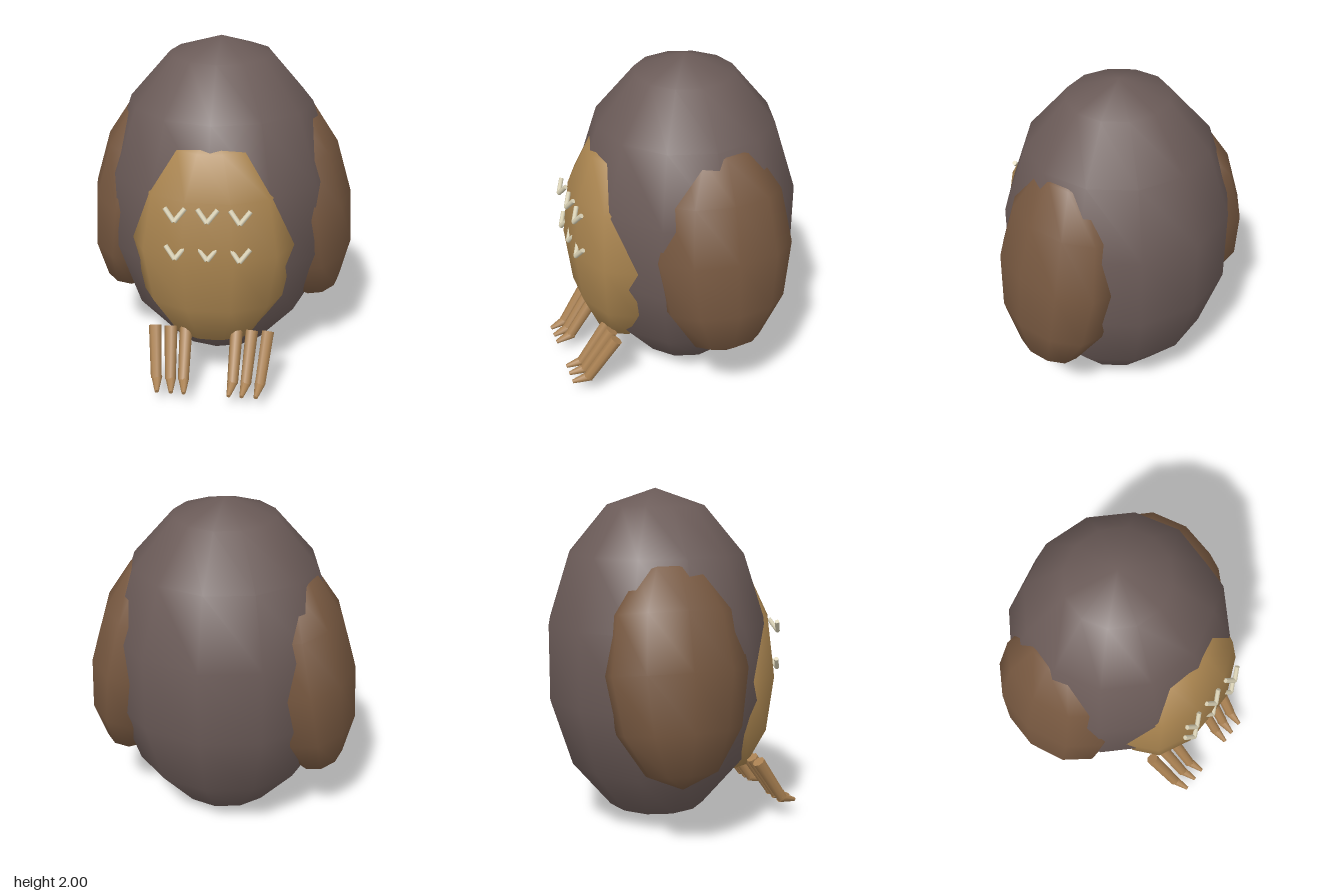
import * as THREE from 'three';

const mat = (name, color) => {
  const m = new THREE.MeshStandardMaterial({ color });
  m.name = name;
  return m;
};

export function createModel() {
  const group = new THREE.Group();
  const bodyMat = mat('dark taupe', 0x6b5b58);
  const bellyMat = mat('tan', 0xa9844f);
  const wingMat = mat('brown', 0x775840);
  const toeMat = mat('warm tan', 0xaa8152);
  const markMat = mat('cream', 0xd6ceb2);

  const add = (name, geometry, material, parent = group) => {
    const m = new THREE.Mesh(geometry, material);
    m.name = name;
    parent.add(m);
    return m;
  };

  // Low-sided ellipsoid with smooth normals
  const ellipsoid = (name, material, cols, rows, radii, pos) => {
    const m = add(name, new THREE.SphereGeometry(1, cols, rows), material);
    m.scale.set(...radii);
    m.position.set(...pos);
    return m;
  };

  // Tapered rod between two points
  const rod = (name, a, b, ra, rb, sides, material, parent) => {
    const p = new THREE.Vector3(...a), q = new THREE.Vector3(...b);
    const d = q.clone().sub(p);
    const m = add(name, new THREE.CylinderGeometry(rb, ra, d.length(), sides), material, parent);
    m.position.copy(p).add(q).multiplyScalar(0.5);
    m.quaternion.setFromUnitVectors(new THREE.Vector3(0, 1, 0), d.normalize());
    return m;
  };

  ellipsoid('body', bodyMat, 12, 7, [0.69, 1, 0.67], [0, 1, -0.08]);
  ellipsoid('belly', bellyMat, 10, 6, [0.47, 0.67, 0.297], [0, 0.9, 0.355]);

  for (const s of [1, -1]) {
    const side = s > 0 ? 'left' : 'right';

    // Wing leaning in towards the head
    const wing = ellipsoid(side + 'Wing', wingMat, 10, 6, [0.288, 0.66, 0.42], [s * 0.5, 1, -0.13]);
    wing.rotation.z = s * 0.168;

    // Foot of three toes, each ending in a claw
    const foot = new THREE.Group();
    foot.name = side + 'Foot';
    group.add(foot);
    for (const [top, end, tip] of [[0.15, 0.145, 0.13], [0.24, 0.222, 0.205], [0.335, 0.305, 0.287]]) {
      rod('toe', [s * top, 0.375, 0.46], [s * end, 0.12, 0.635], 0.038, 0.032, 8, toeMat, foot);
      rod('claw', [s * end, 0.125, 0.62], [s * tip, 0.092, 0.73], 0.033, 0.012, 8, toeMat, foot);
    }
  }

  // Two rows of chevron feather marks
  for (const y of [1.14, 0.912]) {
    for (const x of [-0.18, 0, 0.18]) {
      const mark = new THREE.Group();
      mark.name = 'featherMark';
      group.add(mark);
      for (const s of [1, -1]) {
        rod('featherMarkArm', [x, y, 0.645], [x + s * 0.056, y + 0.066, 0.612], 0.014, 0.014, 8, markMat, mark);
      }
    }
  }

  return group;
}
